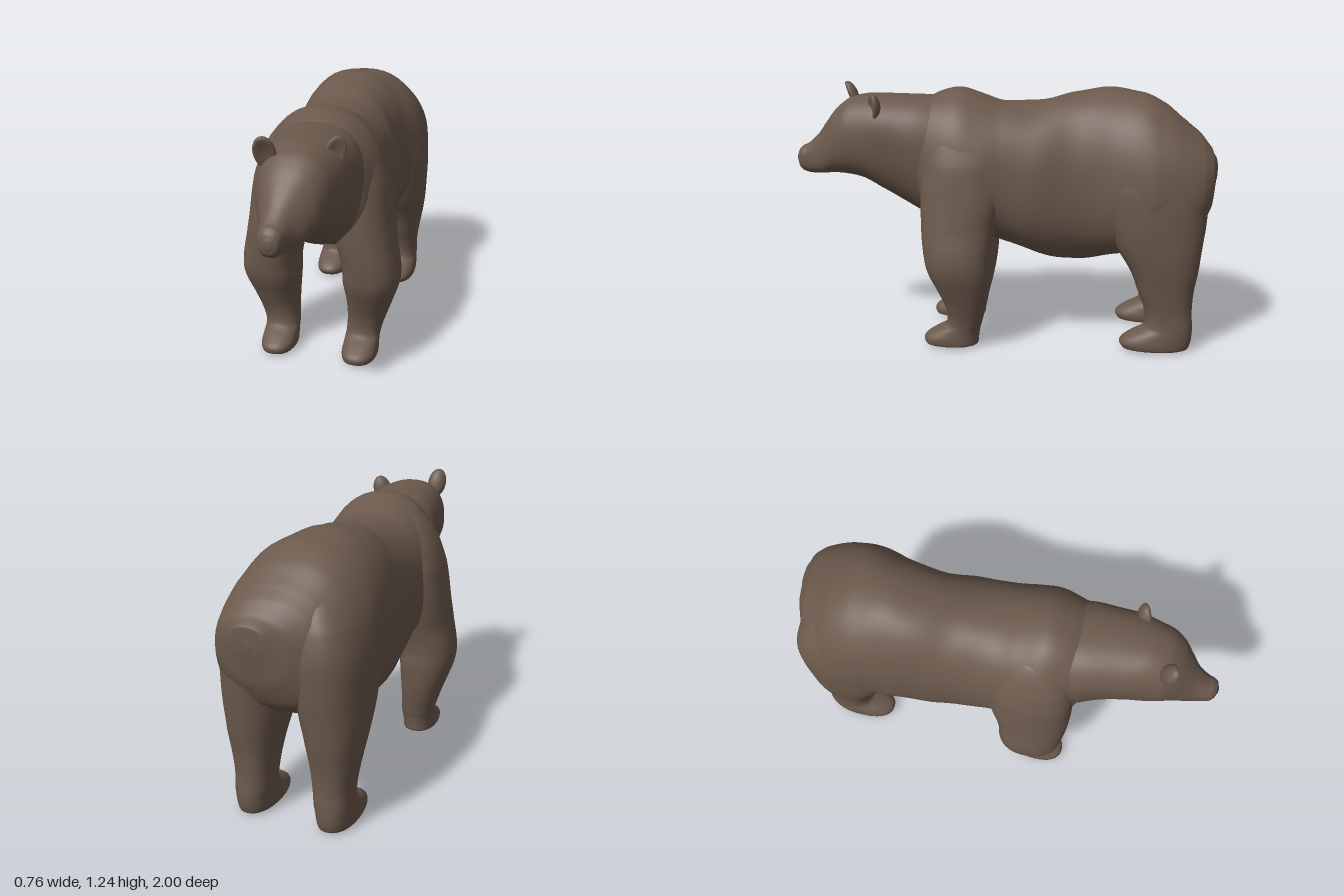
import * as THREE from 'three';

const fur = new THREE.MeshStandardMaterial({ color: 0x6b594c });
fur.name = 'brown fur';

// Smooth interpolation through rows of numbers
function sampleRows(rows, steps) {
  const out = [];
  for (let i = 0; i < rows.length - 1; i++) {
    const a = rows[Math.max(i - 1, 0)], b = rows[i], c = rows[i + 1], d = rows[Math.min(i + 2, rows.length - 1)];
    for (let s = 0; s < steps; s++) {
      const t = s / steps;
      out.push(b.map((p1, k) => {
        const v = 0.5 * (2 * p1 + (c[k] - a[k]) * t + (2 * a[k] - 5 * p1 + 4 * c[k] - d[k]) * t * t
          + (3 * p1 - a[k] - 3 * c[k] + d[k]) * t * t * t);
        return k === 0 ? p1 + (c[k] - p1) * t : v;
      }));
    }
  }
  out.push(rows[rows.length - 1]);
  return out;
}

// Skin over oval sections. Row: [position along axis, centre x, low, high, half width, taper]
// axis 'z': low/high are heights; axis 'y': low/high are back/front
function loft(name, rows, axis, lump, sides = 48) {
  const rings = sampleRows(rows, 6), pos = [], index = [];
  const put = (t, u, v) => (axis === 'z' ? pos.push(u, v, t) : pos.push(u, t, v));
  const power = (c) => Math.sign(c) * Math.pow(Math.abs(c), 0.86);
  for (const [t, cx, lo, hi, w, taper = 0] of rings) {
    for (let j = 0; j < sides; j++) {
      const a = (j / sides) * Math.PI * 2;
      const u = power(Math.cos(a)), v = power(Math.sin(a));
      const ripple = 1 + lump * (Math.sin(t * 31 + a * 3) + Math.sin(t * 17 - a * 5));
      put(t, cx + w * u * (1 - taper * v) * ripple, (lo + hi) / 2 + ((hi - lo) / 2) * v * ripple);
    }
  }
  const tri = (a, b, c) => (axis === 'z' ? index.push(a, b, c) : index.push(a, c, b));
  for (let i = 0; i < rings.length - 1; i++) {
    for (let j = 0; j < sides; j++) {
      const a = i * sides + j, b = i * sides + ((j + 1) % sides);
      tri(a, b, b + sides);
      tri(a, b + sides, a + sides);
    }
  }
  // Close both ends
  for (const i of [0, rings.length - 1]) {
    const [t, cx, lo, hi] = rings[i], centre = pos.length / 3;
    put(t, cx, (lo + hi) / 2);
    for (let j = 0; j < sides; j++) {
      const a = i * sides + j, b = i * sides + ((j + 1) % sides);
      if (i === 0) tri(centre, b, a); else tri(centre, a, b);
    }
  }
  const geometry = new THREE.BufferGeometry();
  geometry.setAttribute('position', new THREE.Float32BufferAttribute(pos, 3));
  geometry.setIndex(index);
  geometry.computeVertexNormals();
  const mesh = new THREE.Mesh(geometry, fur);
  mesh.name = name;
  return mesh;
}

// Thick rounded ear with a shallow hollow in front
function ear(name, x, y, z, tilt, yaw, roll) {
  const geometry = new THREE.SphereGeometry(1, 24, 18);
  const p = geometry.attributes.position;
  for (let i = 0; i < p.count; i++) {
    const r = Math.hypot(p.getX(i), p.getY(i));
    if (p.getZ(i) > 0) p.setZ(i, p.getZ(i) - 0.9 * Math.max(0, 1 - r * r));
  }
  geometry.scale(0.047, 0.075, 0.036);
  geometry.computeVertexNormals();
  const mesh = new THREE.Mesh(geometry, fur);
  mesh.name = name;
  mesh.position.set(x, y, z);
  mesh.rotation.set(tilt, yaw, roll);
  return mesh;
}

export function createModel() {
  const bear = new THREE.Group();
  bear.name = 'bear';

  // Rump, back, belly and shoulder hump
  bear.add(loft('body', [
    [-0.997, 0.1, 0.82, 0.93, 0.07, 0],
    [-0.975, 0.08, 0.68, 0.975, 0.16, 0],
    [-0.93, 0.05, 0.58, 1.03, 0.235, 0.02],
    [-0.87, 0.03, 0.53, 1.08, 0.28, 0.05],
    [-0.78, 0.01, 0.49, 1.155, 0.312, 0.08],
    [-0.67, 0.0, 0.46, 1.21, 0.325, 0.1],
    [-0.5, -0.02, 0.42, 1.23, 0.298, 0.08],
    [-0.35, -0.02, 0.4, 1.21, 0.28, 0.06],
    [-0.18, 0.0, 0.43, 1.17, 0.285, 0.05],
    [0.0, 0.01, 0.5, 1.17, 0.285, 0.08],
    [0.1, 0.01, 0.53, 1.2, 0.3, 0.13],
    [0.2, 0.01, 0.56, 1.23, 0.295, 0.15],
    [0.3, 0.015, 0.6, 1.21, 0.265, 0.12],
    [0.38, 0.02, 0.66, 1.17, 0.215, 0.05],
    [0.44, 0.02, 0.75, 1.1, 0.12, 0],
  ], 'z', 0.004));

  // Neck, cheeks, brow and muzzle
  bear.add(loft('headAndNeck', [
    [0.2, 0.01, 0.6, 1.18, 0.22, -0.05],
    [0.36, 0.02, 0.625, 1.195, 0.222, -0.1],
    [0.48, 0.03, 0.69, 1.198, 0.2, -0.15],
    [0.58, 0.035, 0.75, 1.2, 0.188, -0.1],
    [0.66, 0.035, 0.795, 1.198, 0.175, 0],
    [0.74, 0.035, 0.815, 1.175, 0.158, 0],
    [0.8, 0.035, 0.82, 1.125, 0.132, 0.04],
    [0.85, 0.028, 0.815, 1.06, 0.102, 0.12],
    [0.89, 0.02, 0.81, 1.005, 0.077, 0.12],
    [0.94, 0.015, 0.81, 0.96, 0.06, 0],
    [0.972, 0.015, 0.82, 0.943, 0.051, -0.05],
    [0.99, 0.018, 0.838, 0.925, 0.036, -0.05],
    [1.0, 0.018, 0.865, 0.9, 0.014, 0],
  ], 'z', 0.003));
  bear.add(ear('rightEar', -0.074, 1.172, 0.748, 0.3, 0.3, 0.12));
  bear.add(ear('leftEar', 0.176, 1.145, 0.595, 0.05, 0.5, -0.3));

  for (const [side, s] of [['left', 1], ['right', -1]]) {
    const dx = s > 0 ? 0.01 : -0.006;
    // Front leg: paw, wrist, elbow and shoulder
    bear.add(loft(side + 'FrontLeg', [
      [0.008, s * 0.195 + dx, 0.13, 0.33, 0.06],
      [0.018, s * 0.195 + dx, 0.11, 0.362, 0.08],
      [0.05, s * 0.195 + dx, 0.105, 0.368, 0.084],
      [0.08, s * 0.195 + dx, 0.1, 0.33, 0.082],
      [0.12, s * 0.197 + dx, 0.09, 0.262, 0.082],
      [0.2, s * 0.21 + dx, 0.07, 0.262, 0.092],
      [0.3, s * 0.225 + dx, 0.05, 0.3, 0.112],
      [0.4, s * 0.235 + dx, 0.04, 0.345, 0.133],
      [0.48, s * 0.235 + dx, 0.04, 0.36, 0.136],
      [0.6, s * 0.212 + dx, 0.02, 0.372, 0.138],
      [0.75, s * 0.19 + dx, -0.02, 0.375, 0.14],
      [0.9, s * 0.172 + dx, -0.02, 0.368, 0.135],
      [1.0, s * 0.148 + dx, 0.0, 0.352, 0.125],
      [1.08, s * 0.118 + dx, 0.04, 0.325, 0.113],
      [1.14, s * 0.085 + dx, 0.09, 0.29, 0.095],
      [1.18, s * 0.055, 0.15, 0.24, 0.05],
    ], 'y', 0.003));

    // Hind leg: paw, hock, thigh and haunch
    bear.add(loft(side + 'HindLeg', [
      [0.004, s * 0.185 + dx, -0.88, -0.62, 0.06],
      [0.015, s * 0.185 + dx, -0.9, -0.585, 0.082],
      [0.045, s * 0.185 + dx, -0.91, -0.572, 0.088],
      [0.08, s * 0.185 + dx, -0.915, -0.61, 0.086],
      [0.12, s * 0.183 + dx, -0.915, -0.685, 0.084],
      [0.2, s * 0.18 + dx, -0.91, -0.685, 0.088],
      [0.3, s * 0.18 + dx, -0.915, -0.65, 0.102],
      [0.4, s * 0.178 + dx, -0.93, -0.61, 0.122],
      [0.52, s * 0.172 + dx, -0.945, -0.54, 0.142],
      [0.66, s * 0.165 + dx, -0.96, -0.49, 0.155],
      [0.8, s * 0.16 + dx, -0.965, -0.47, 0.155],
      [0.92, s * 0.14 + dx, -0.94, -0.48, 0.143],
      [1.0, s * 0.115 + dx, -0.89, -0.51, 0.125],
      [1.08, s * 0.085 + dx, -0.81, -0.56, 0.095],
      [1.12, s * 0.06, -0.75, -0.62, 0.05],
    ], 'y', 0.003));
  }

  // Short tail pressed against the rump
  const tail = new THREE.Mesh(new THREE.SphereGeometry(1, 20, 14), fur);
  tail.name = 'tail';
  tail.scale.set(0.045, 0.1, 0.03);
  tail.position.set(0.09, 0.9, -0.965);
  tail.rotation.x = 0.2;
  bear.add(tail);

  return bear;
}
